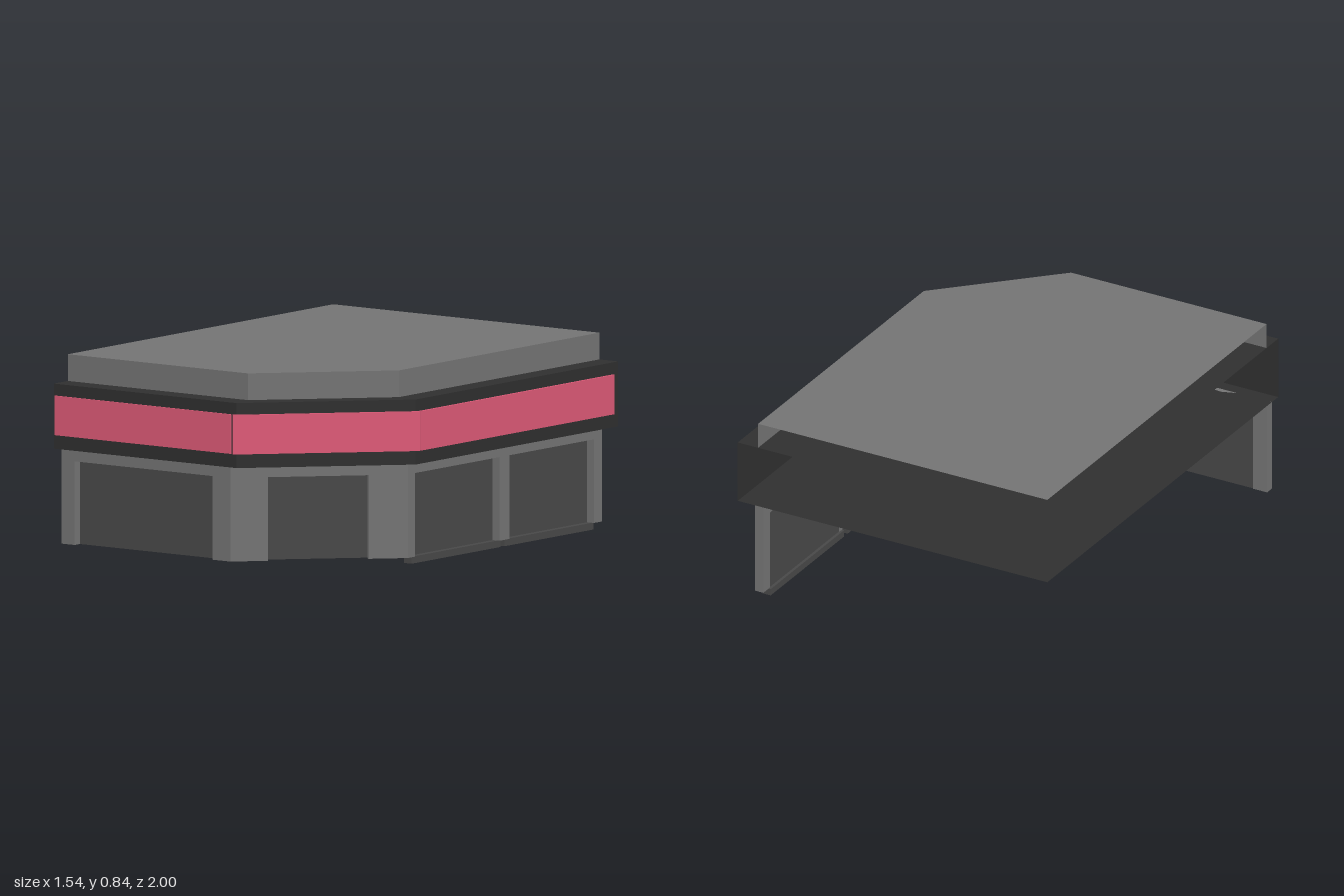
import * as THREE from 'three';

const mat = (color) => new THREE.MeshStandardMaterial({ color, side: THREE.DoubleSide, flatShading: true });

export function createModel() {
  const model = new THREE.Group();
  const wallMat = mat(0x737373), bandMat = mat(0x2f2f2f), glassMat = mat(0x484848), signMat = mat(0xdc5976);

  const add = (parent, geo, material, name) => {
    const mesh = new THREE.Mesh(geo, material);
    mesh.name = name;
    parent.add(mesh);
    return mesh;
  };

  // Group whose local x runs along a -> b in plan [x, z] and whose local z faces outwards
  const side = (a, b, name) => {
    const g = new THREE.Group();
    g.name = name;
    g.position.set(a[0], 0, a[1]);
    g.rotation.y = -Math.atan2(b[1] - a[1], b[0] - a[0]);
    g.userData.length = Math.hypot(b[0] - a[0], b[1] - a[1]);
    model.add(g);
    return g;
  };

  // Horizontal sheet bounded by the street line and the open back-left corner
  const sheet = (line, y, material, name) => {
    const pts = [...line, [-0.77, -1]].map(([x, z]) => new THREE.Vector2(x, -z));
    const geo = new THREE.ShapeGeometry(new THREE.Shape(pts)).rotateX(-Math.PI / 2);
    add(model, geo, material, name).position.y = y;
  };

  // Upright strips along the three street sides
  const strips = (line, y0, y1, material, name) => {
    for (let i = 0; i < 3; i++) {
      const g = side(line[i], line[i + 1], name);
      const len = g.userData.length;
      add(g, new THREE.PlaneGeometry(len, y1 - y0), material, name + 'Face').position.set(len / 2, (y0 + y1) / 2, 0);
    }
  };

  // Roof and dark band, open towards the back and left
  const roofLine = [[-0.77, 0.88], [0.19, 0.88], [0.65, 0.42], [0.65, -1]];
  const bandLine = [[-0.77, 0.98], [0.205, 0.98], [0.75, 0.435], [0.75, -1]];
  sheet(roofLine, 0.84, wallMat, 'roofTop');
  strips(roofLine, 0.725, 0.84, wallMat, 'roofEdge');
  sheet(bandLine, 0.725, bandMat, 'bandTop');
  sheet(bandLine, 0.445, bandMat, 'bandUnderside');
  strips(bandLine, 0.445, 0.725, bandMat, 'band');

  // Sign boards in front of the band
  const signs = [
    [[-0.76, 0.983], [0.18, 0.983], 0.006],
    [[0.19, 0.99], [0.762, 0.425], 0.014],
    [[0.757, 0.425], [0.757, -0.95], 0.012],
  ];
  for (const [a, b, depth] of signs) {
    const g = side(a, b, 'sign');
    const len = g.userData.length;
    add(g, new THREE.BoxGeometry(len, 0.17, depth), signMat, 'signBoard').position.set(len / 2, 0.59, depth / 2);
  }

  // Walls with recessed shop windows reaching the floor
  const base = 0.03, top = 0.445, head = 0.39, recess = 0.04;
  const wall = (a, b, openings, name) => {
    const g = side(a, b, name);
    const len = g.userData.length;
    const s = new THREE.Shape();
    s.moveTo(0, base);
    for (const [x0, x1] of openings) {
      s.lineTo(x0, base);
      s.lineTo(x0, head);
      s.lineTo(x1, head);
      s.lineTo(x1, base);
      add(g, new THREE.PlaneGeometry(x1 - x0, head - base), glassMat, 'window')
        .position.set((x0 + x1) / 2, (head + base) / 2, -recess + 0.003);
    }
    s.lineTo(len, base);
    s.lineTo(len, top);
    s.lineTo(0, top);
    s.closePath();
    const geo = new THREE.ExtrudeGeometry(s, { depth: recess, bevelEnabled: false }).translate(0, 0, -recess);
    add(g, geo, wallMat, name + 'Frame');
  };
  wall([-0.77, 0.925], [0.13, 0.925], [[0.07, 0.805]], 'frontWall');
  wall([0.13, 0.925], [0.67, 0.385], [[0.163, 0.594]], 'cornerWall');
  wall([0.67, 0.385], [0.67, -0.99], [[0.05, 0.65], [0.72, 1.32]], 'sideWall');

  // Low sills under the side windows
  for (const [z0, z1] of [[0.345, -0.285], [-0.315, -0.945]]) {
    add(model, new THREE.BoxGeometry(0.04, 0.03, z0 - z1), glassMat, 'windowSill')
      .position.set(0.64, 0.015, (z0 + z1) / 2);
  }
  return model;
}
